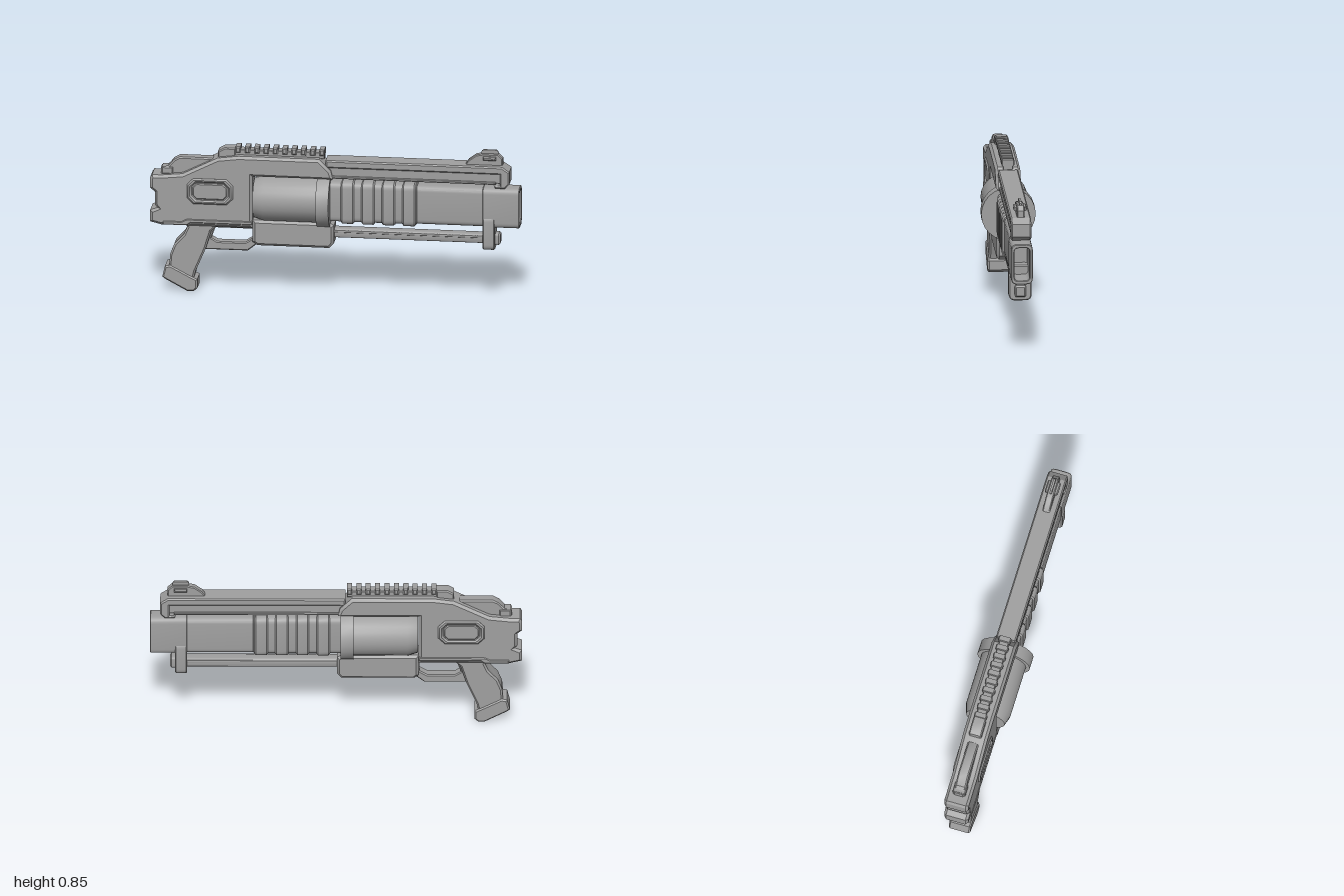
import * as THREE from 'three';
import { toCreasedNormals } from 'three/addons/utils/BufferGeometryUtils.js';

const grey = new THREE.MeshStandardMaterial({ color: 0xa0a0a0 });
grey.name = 'grey';

export function createModel() {
  const group = new THREE.Group();

  function add(name, geometry) {
    const mesh = new THREE.Mesh(toCreasedNormals(geometry, 0.55), grey);
    mesh.name = name;
    group.add(mesh);
    return mesh;
  }

  const outline = pts => new THREE.Shape(pts.map(p => new THREE.Vector2(p[0], p[1])));

  // Side profile in x-y, bevelled and centred on z
  function plate(name, pts, half, bevel = 0.01, hole = null) {
    const shape = outline(pts);
    if (hole) shape.holes.push(new THREE.Path(hole.map(p => new THREE.Vector2(p[0], p[1]))));
    const g = new THREE.ExtrudeGeometry(shape, {
      depth: 2 * (half - bevel), bevelEnabled: bevel > 0, bevelThickness: bevel,
      bevelSize: bevel, bevelOffset: -bevel, bevelSegments: 1, curveSegments: 6,
    });
    g.translate(0, 0, -(half - bevel));
    return add(name, g);
  }

  function roundRect(half, y0, y1, r, Type = THREE.Shape) {
    const s = new Type();
    s.moveTo(-half + r, y0);
    s.lineTo(half - r, y0);
    s.quadraticCurveTo(half, y0, half, y0 + r);
    s.lineTo(half, y1 - r);
    s.quadraticCurveTo(half, y1, half - r, y1);
    s.lineTo(-half + r, y1);
    s.quadraticCurveTo(-half, y1, -half, y1 - r);
    s.lineTo(-half, y0 + r);
    s.quadraticCurveTo(-half, y0, -half + r, y0);
    return s;
  }

  // Rounded cross-section in z-y, run along x
  function bar(name, x0, x1, half, y0, y1, r, bevel = 0, hole = null) {
    const shape = roundRect(half, y0, y1, r);
    if (hole) shape.holes.push(hole);
    const g = new THREE.ExtrudeGeometry(shape, {
      depth: x1 - x0 - 2 * bevel, bevelEnabled: bevel > 0, bevelThickness: bevel,
      bevelSize: bevel, bevelOffset: -bevel, bevelSegments: 1, curveSegments: 5,
    });
    g.rotateY(Math.PI / 2);
    g.translate(x0 + bevel, 0, 0);
    return add(name, g);
  }

  // Octagon with cut corners, in x-y
  const octagon = (cx, cy, w, h, c) => [
    [cx - w + c, cy - h], [cx + w - c, cy - h], [cx + w, cy - h + c], [cx + w, cy + h - c],
    [cx + w - c, cy + h], [cx - w + c, cy + h], [cx - w, cy + h - c], [cx - w, cy - h + c]];

  // Receiver, open in front of the rear block for the drum
  plate('receiver', [
    [-0.99, 0.66], [-1, 0.645], [-1, 0.585], [-0.975, 0.565], [-0.975, 0.49], [-0.96, 0.475],
    [-1, 0.46], [-1, 0.395], [-0.94, 0.38], [-0.445, 0.38], [-0.445, 0.672], [-0.01, 0.672],
    [-0.022, 0.72], [-0.085, 0.783], [-0.52, 0.783], [-0.635, 0.768], [-0.825, 0.672], [-0.94, 0.66],
  ], 0.068, 0.014);
  plate('receiverLowerTrim', [[-0.93, 0.385], [-0.8, 0.385], [-0.78, 0.4], [-0.445, 0.4],
    [-0.445, 0.42], [-0.8, 0.42], [-0.83, 0.405], [-0.93, 0.405]], 0.072, 0.004);

  // Lower housing
  plate('lowerHousing', [[-0.445, 0.425], [-0.445, 0.3], [-0.42, 0.282], [-0.03, 0.282],
    [-0.005, 0.31], [-0.005, 0.41], [-0.03, 0.425]], 0.064, 0.014);

  // Raised side ports with a sunken centre face
  plate('sidePortRim', octagon(-0.675, 0.58, 0.125, 0.072, 0.035), 0.077, 0.008,
    octagon(-0.675, 0.58, 0.1, 0.05, 0.026));
  plate('sidePortFace', octagon(-0.675, 0.58, 0.094, 0.044, 0.022), 0.073, 0.005);

  // Drum with a chamfered rear and a wide front flange
  const drum = new THREE.LatheGeometry([
    [0, -0.44], [0.108, -0.44], [0.125, -0.385], [0.125, -0.095], [0.147, -0.095],
    [0.147, -0.025], [0, -0.025]].map(p => new THREE.Vector2(p[0], p[1])), 24);
  drum.rotateZ(-Math.PI / 2);
  drum.translate(0, 0.537, 0);
  add('drum', drum);

  // Barrel and hollow muzzle
  bar('barrel', -0.03, 0.8, 0.055, 0.434, 0.65, 0.03);
  bar('muzzle', 0.8, 1, 0.058, 0.43, 0.653, 0.032, 0.004, roundRect(0.041, 0.45, 0.632, 0.022, THREE.Path));
  bar('pumpSleeve', -0.03, 0.445, 0.059, 0.43, 0.654, 0.033, 0.004);
  for (let i = 0; i < 4; i++) {
    const x = 0.033 + i * 0.111;
    bar('pumpRib', x, x + 0.072, 0.068, 0.42, 0.66, 0.036, 0.008);
  }

  // Top rail with a recessed side groove and a hooked nose
  plate('topRailCore', [[-0.05, 0.68], [0.91, 0.68], [0.91, 0.76], [-0.05, 0.76]], 0.043, 0.004);
  plate('topRailShell', [[-0.05, 0.735], [0.895, 0.735], [0.895, 0.67], [0.86, 0.67], [0.87, 0.655],
    [0.92, 0.655], [0.945, 0.68], [0.945, 0.75], [0.905, 0.777], [-0.05, 0.777]], 0.055, 0.007);
  plate('topRailLip', [[-0.05, 0.675], [0.87, 0.675], [0.87, 0.69], [-0.05, 0.69]], 0.052, 0.004);

  // Front sight
  plate('frontSightBase', [[0.7, 0.77], [0.72, 0.8], [0.76, 0.83], [0.8, 0.838], [0.88, 0.838],
    [0.905, 0.815], [0.905, 0.77]], 0.02, 0.005);
  plate('frontSightWings', [[0.8, 0.805], [0.87, 0.805], [0.87, 0.825], [0.8, 0.825]], 0.036, 0.006);
  plate('frontSightBlade', [[0.79, 0.82], [0.88, 0.82], [0.88, 0.848], [0.87, 0.858], [0.8, 0.858],
    [0.79, 0.85]], 0.006, 0);

  // Accessory rail with teeth
  plate('accessoryRail', [[-0.6, 0.775], [-0.06, 0.775], [-0.06, 0.812], [-0.6, 0.812]], 0.026, 0.003);
  for (let i = 0; i < 10; i++) {
    const x = -0.54 + i * 0.0505;
    plate('railTooth', [[x, 0.795], [x + 0.027, 0.795], [x + 0.027, 0.83], [x, 0.83]], 0.035, 0.006);
  }
  plate('railEnd', [[-0.635, 0.75], [-0.54, 0.75], [-0.54, 0.82], [-0.6, 0.82], [-0.635, 0.8]], 0.035, 0.006);

  // Rear hump
  plate('rearHump', [[-0.945, 0.65], [-0.945, 0.695], [-0.905, 0.705], [-0.875, 0.74],
    [-0.845, 0.757], [-0.67, 0.757], [-0.64, 0.74], [-0.7, 0.65]], 0.03, 0.007);
  plate('rearSightStep', [[-0.94, 0.66], [-0.88, 0.66], [-0.88, 0.7], [-0.94, 0.7]], 0.036, 0.005);

  // Tube under the barrel, its bracket and end cap
  bar('lowerTube', -0.02, 0.86, 0.032, 0.335, 0.386, 0.014);
  bar('lowerTubeRail', -0.02, 0.82, 0.037, 0.366, 0.38, 0.004);
  bar('tubeBracket', 0.8, 0.866, 0.062, 0.303, 0.5, 0.035, 0.006);
  bar('tubeCap', 0.84, 0.893, 0.03, 0.328, 0.392, 0.012, 0.008);

  // Trigger guard
  plate('triggerGuard', [[-0.69, 0.39], [-0.71, 0.24], [-0.475, 0.24], [-0.425, 0.28], [-0.425, 0.39]],
    0.028, 0.006, [[-0.65, 0.365], [-0.672, 0.305], [-0.64, 0.286], [-0.49, 0.286], [-0.45, 0.31], [-0.45, 0.365]]);

  // Grip and its butt
  plate('grip', [[-0.815, 0.41], [-0.8, 0.37], [-0.82, 0.325], [-0.87, 0.27], [-0.893, 0.21], [-0.9, 0.13],
    [-0.9, 0.09], [-0.77, 0.06], [-0.755, 0.12], [-0.7, 0.25], [-0.67, 0.35], [-0.635, 0.385], [-0.635, 0.41]],
  0.053, 0.01);
  plate('gripButt', [[-0.92, 0.145], [-0.935, 0.085], [-0.925, 0.075], [-0.8, 0.008], [-0.765, 0.008],
    [-0.745, 0.025], [-0.745, 0.075], [-0.765, 0.085], [-0.89, 0.15]], 0.06, 0.008);

  // Stand exactly on the ground, centred
  const box = new THREE.Box3().setFromObject(group);
  group.position.set(-(box.min.x + box.max.x) / 2, -box.min.y, 0);
  return group;
}
